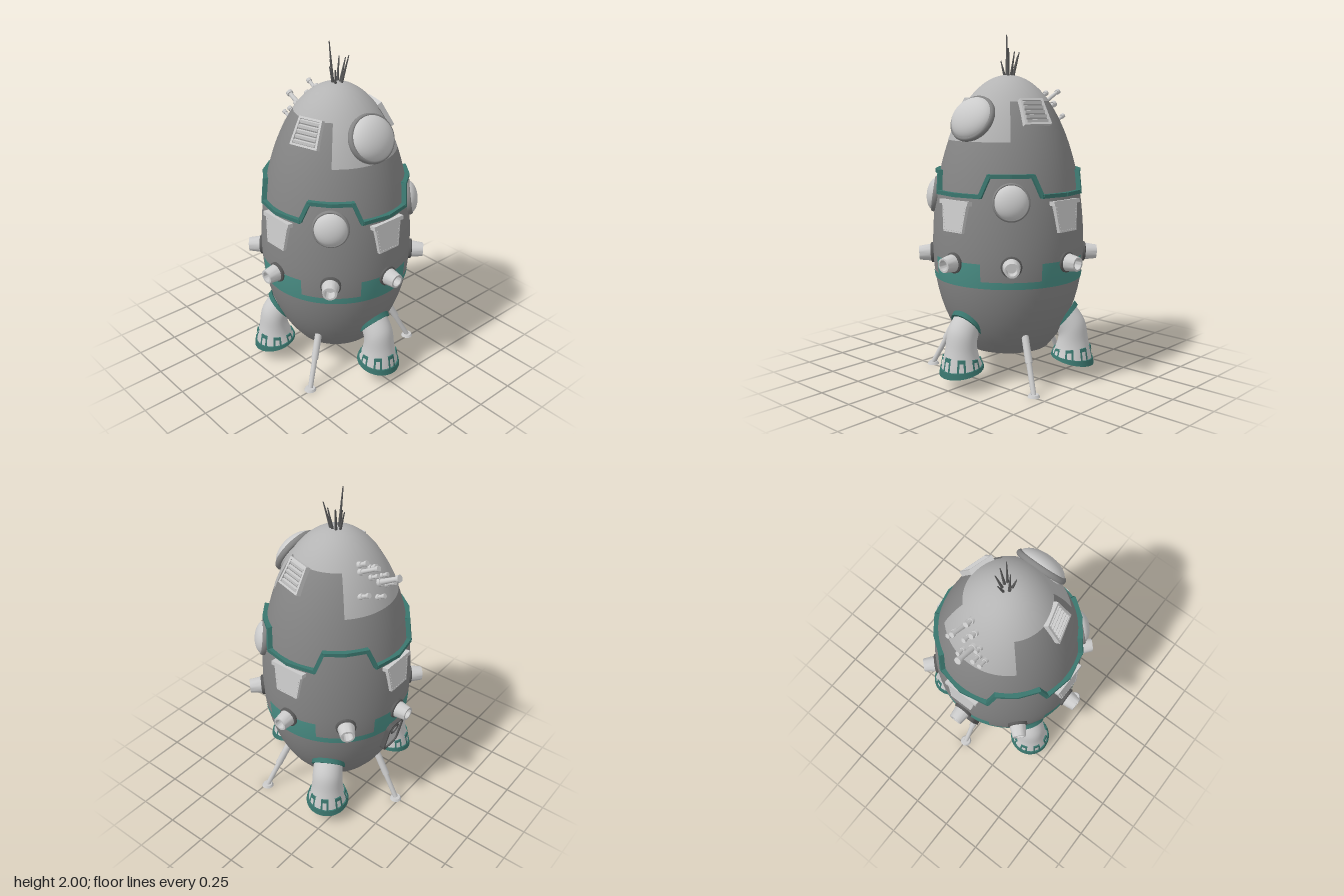
import * as THREE from 'three';
import { toCreasedNormals } from 'three/addons/utils/BufferGeometryUtils.js';
import { ParametricGeometry } from 'three/addons/geometries/ParametricGeometry.js';

const mat = (color, side = THREE.FrontSide) => new THREE.MeshStandardMaterial({ color, side });
const light = mat(0xcccccc), hullGrey = mat(0x858585), capGrey = mat(0xb4b4b4), dark = mat(0x5a5a5a);
const lightOpen = mat(0xcccccc, THREE.DoubleSide);
const teal = mat(0x4a8f86), trimTeal = mat(0x3a766e, THREE.DoubleSide);
const PI = Math.PI, TOP = 1.77;
const V = (x, y, z) => new THREE.Vector3(x, y, z);

// Egg-shaped hull radius at a height
const rad = y => 0.445 * Math.sqrt(Math.max(0, 1 - ((y - 0.78) / (y < 0.78 ? 0.72 : 0.99)) ** 2));
const onHull = (phi, y, off = 0) => V(Math.sin(phi) * (rad(y) + off), y, Math.cos(phi) * (rad(y) + off));

function add(parent, name, geo, material, x = 0, y = 0, z = 0) {
  const m = new THREE.Mesh(geo, material);
  m.name = name;
  m.position.set(x, y, z);
  parent.add(m);
  return m;
}

// Group on the hull surface whose +z points straight out
function mount(parent, name, phi, y, off = 0) {
  const g = new THREE.Group();
  g.name = name;
  g.rotation.order = 'YXZ';
  g.rotation.set(-Math.atan((rad(y - 0.01) - rad(y + 0.01)) / 0.02), phi, 0);
  g.position.copy(onHull(phi, y, off));
  parent.add(g);
  return g;
}

// Piece of hull skin between two heights and two angles
function shell(parent, name, material, y0, y1, off = 0, phi = 0, len = 2 * PI, floor = false) {
  const pts = floor ? [new THREE.Vector2(0, y0)] : [];
  for (let i = 0; i <= 40; i++) {
    const y = y0 + (y1 - y0) * (1 - (1 - i / 40) ** 2);
    pts.push(new THREE.Vector2(y > TOP - 1e-6 ? 0 : rad(y) + off, y));
  }
  const geo = new THREE.LatheGeometry(pts, Math.max(12, Math.round(96 * len / (2 * PI))), phi - (len < 6 ? len / 2 : 0), len);
  return add(parent, name, floor ? toCreasedNormals(geo, 0.6) : geo, material);
}

// Turned part pointing along +z
function turned(profile, seg = 28) {
  const geo = new THREE.LatheGeometry(profile.map(p => new THREE.Vector2(...p)), seg);
  return toCreasedNormals(geo.rotateX(PI / 2), 0.5);
}

function rod(parent, name, a, b, ra, rb, material, seg = 14) {
  const m = add(parent, name, new THREE.CylinderGeometry(rb, ra, a.distanceTo(b), seg), material);
  m.position.copy(a).lerp(b, 0.5);
  m.quaternion.setFromUnitVectors(V(0, 1, 0), b.clone().sub(a).normalize());
}

const polygon = pts => new THREE.Shape(pts.map(p => new THREE.Vector2(...p)));
const slab = (shape, depth) => new THREE.ExtrudeGeometry(shape, { depth, bevelEnabled: false, curveSegments: 10 });

function roundedRect(w, h, r) {
  const s = new THREE.Shape();
  s.absarc(w / 2 - r, h / 2 - r, r, 0, PI / 2);
  s.absarc(-w / 2 + r, h / 2 - r, r, PI / 2, PI);
  s.absarc(-w / 2 + r, -h / 2 + r, r, PI, 1.5 * PI);
  s.absarc(w / 2 - r, -h / 2 + r, r, 1.5 * PI, 2 * PI);
  return s;
}

// Curved engine: stations hold x, y and radius, with the ring tilting along the way
const engineCurve = new THREE.CatmullRomCurve3([
  V(0.345, 0.365, 0.086), V(0.385, 0.29, 0.09), V(0.39, 0.2, 0.097), V(0.392, 0.1, 0.122)]);
function enginePoint(u, v, off, target) {
  const c = engineCurve.getPoint(v), t = 0.96 - 1.16 * v, r = c.z + off, a = u * 2 * PI;
  target.set(c.x + r * Math.cos(a) * Math.cos(t), c.y + r * Math.cos(a) * Math.sin(t), r * Math.sin(a));
}
// Raised strip on the engine, closed at its upper and lower edge
function engineStrip(u0, u1, v0, v1, off, inner = 0) {
  const prof = [[v0, inner], [v0, off], [v1, off], [v1, inner]];
  const geo = new ParametricGeometry((u, s, target) => {
    const [v, o] = prof[Math.min(3, Math.round(s * 3))];
    enginePoint(u0 + (u1 - u0) * u, v, o, target);
  }, u1 - u0 > 0.5 ? 40 : 4, 3);
  return toCreasedNormals(geo, 0.6);
}

export function createModel() {
  const model = new THREE.Group();
  model.name = 'rocket';

  // Hull skin and coloured panels
  shell(model, 'hull', hullGrey, 0.18, 1.64, 0, 0, 2 * PI, true);
  shell(model, 'noseCap', capGrey, 1.62, TOP, 0.003);
  for (const s of [1, -1]) shell(model, 'capSidePanel', capGrey, 1.4, 1.62, 0.003, s * PI / 2, PI / 2);
  shell(model, 'band', teal, 0.6, 0.64, 0.003);
  for (let i = 0; i < 4; i++) shell(model, 'bandPanel', teal, 0.64, 0.74, 0.003, i * PI / 2, PI / 4);

  // Stepped trim: low in front of each hatch, high on the diagonals
  const steps = [[-22, 1.11], [0, 1.11], [22, 1.11], [28, 1.22], [45, 1.22], [62, 1.22], [68, 1.11]];
  for (let q = 0; q < 4; q++) for (let i = 0; i < 6; i++) {
    const [p, n] = [steps[i], steps[i + 1]].map(([d, y]) => onHull((d + q * 90) * PI / 180, y, 0.01));
    const b = add(model, 'trim', new THREE.BoxGeometry(0.022, 0.034, p.distanceTo(n) + 0.012), trimTeal);
    b.position.copy(p).lerp(n, 0.5);
    b.up.set(b.position.x, 0, b.position.z).normalize();
    b.lookAt(n);
  }

  // Ports around the band
  const cone = turned([[0.05, 0], [0.05, 0.015], [0.041, 0.082], [0.03, 0.082], [0.027, 0.03], [0, 0.03]]);
  const flange = turned([[0.059, -0.02], [0.059, 0.01], [0.048, 0.016]]);
  for (let i = 0; i < 8; i++) {
    const g = mount(model, 'port', i * PI / 4, 0.73);
    add(g, 'portCone', cone, light);
    add(g, 'portFlange', flange, dark);
  }

  // Four trapezoid hatches with rivets
  const hatch = slab(polygon([[-0.073, -0.09], [0.073, -0.09], [0.097, 0.07], [-0.097, 0.07]]), 0.032);
  const rivet = new THREE.SphereGeometry(0.003, 6, 4);
  for (let i = 0; i < 4; i++) {
    const g = mount(model, 'hatch', i * PI / 2, 0.99, -0.02);
    add(g, 'hatchPlate', hatch, light);
    add(g, 'hatchLintel', new THREE.BoxGeometry(0.222, 0.024, 0.05), light, 0, 0.076, 0.015);
    for (let k = 0; k < 8; k++) {
      const t = k / 7;
      for (const s of [1, -1]) add(g, 'rivet', rivet, light, s * (0.065 + 0.02 * t), -0.08 + 0.13 * t, 0.032);
      add(g, 'rivet', rivet, light, -0.065 + 0.13 * t, -0.08, 0.032);
    }
  }

  // Domed windows: two small ones and a large one
  function dome(phi, y, w, h, depth) {
    const g = mount(model, 'window', phi, y);
    add(g, 'windowDome', new THREE.SphereGeometry(1, 36, 24), light).scale.set(w, h, depth);
    add(g, 'windowRim', new THREE.TorusGeometry(1, 0.09, 10, 44), hullGrey).scale.set(w, h, 0.2);
  }
  dome(PI / 4, 1.08, 0.096, 0.098, 0.055);
  dome(3 * PI / 4, 1.08, 0.096, 0.098, 0.055);
  dome(PI / 2, 1.525, 0.145, 0.128, 0.075);

  // Louvred vents, front and back
  for (const s of [1, -1]) {
    const g = mount(model, 'vent', s > 0 ? 0.28 : PI - 0.28, 1.55, -0.022);
    const frame = polygon([[-0.088, -0.08], [0.088, -0.08], [0.074, 0.082], [-0.074, 0.082]]);
    frame.holes.push(polygon([[-0.074, -0.068], [0.074, -0.068], [0.062, 0.07], [-0.062, 0.07]]));
    add(g, 'ventFrame', slab(frame, 0.036), light);
    add(g, 'ventBack', new THREE.BoxGeometry(0.145, 0.145, 0.024), hullGrey, 0, 0, 0.012);
    for (let k = 0; k < 5; k++)
      add(g, 'louvre', new THREE.BoxGeometry(0.138 - k * 0.004, 0.016, 0.02), light, 0, -0.054 + k * 0.028, 0.026).rotation.x = 0.5;
  }

  // Cluster of pipes: height, z, length, radius
  const pipes = [[1.53, 0, 0.15, 0.017], [1.61, -0.085, 0.14, 0.013], [1.5, -0.14, 0.07, 0.012], [1.64, -0.07, 0.06, 0.013],
    [1.57, -0.045, 0.06, 0.011], [1.61, -0.02, 0.05, 0.013], [1.5, 0.045, 0.07, 0.012], [1.49, 0.085, 0.07, 0.011],
    [1.55, 0.035, 0.05, 0.01], [1.47, -0.05, 0.06, 0.011]];
  for (const [y, z, len, r] of pipes) {
    const base = V(-Math.sqrt(rad(y) ** 2 - z * z), y, z), dir = V(-0.87, 0.48, z * 0.5).normalize();
    const at = d => base.clone().addScaledVector(dir, d);
    rod(model, 'pipeBase', at(-0.02), at(0.018), r * 1.7, r * 1.3, light);
    rod(model, 'pipe', at(0), at(len), r, r * 0.75, light);
    rod(model, 'pipeCollar', at(len - 0.018), at(len), r * 1.2, r * 1.2, light);
  }

  // Antenna spikes on the nose: tip positions
  const tips = [[-0.02, 2, 0.03], [0.05, 1.92, -0.05], [-0.065, 1.88, -0.015], [-0.035, 1.9, -0.055],
    [0.012, 1.9, -0.06], [0.03, 1.85, 0.03], [-0.015, 1.86, 0.032]];
  for (const [x, y, z] of tips) rod(model, 'spike', V(x * 0.4, 1.75, z * 0.4), V(x, y, z), 0.009, 0.003, dark, 6);

  // Round-cornered door low on the right side
  const door = mount(model, 'door', -PI / 2, 0.53, -0.015);
  const doorFrame = roundedRect(0.15, 0.22, 0.04);
  doorFrame.holes.push(roundedRect(0.122, 0.192, 0.03));
  add(door, 'doorFrame', slab(doorFrame, 0.035), dark);
  add(door, 'doorPanel', slab(roundedRect(0.13, 0.2, 0.03), 0.026), light);
  add(door, 'doorPorthole', new THREE.TorusGeometry(0.032, 0.007, 8, 24), dark, 0, 0.045, 0.027);

  // Three engines with teal collars, mouths and brackets
  for (let i = 0; i < 3; i++) {
    const g = new THREE.Group();
    g.name = 'engine';
    g.rotation.y = i * 2 * PI / 3;
    model.add(g);
    add(g, 'engineBody', new ParametricGeometry((u, v, t) => enginePoint(u, v, 0, t), 40, 20), lightOpen);
    add(g, 'engineCollar', engineStrip(0, 1, 0, 0.08, 0.014), trimTeal);
    add(g, 'engineMouth', engineStrip(0, 1, 0.92, 1, 0.008, -0.012), trimTeal);
    for (let k = 0; k < 8; k++) {
      const c = k / 8;
      add(g, 'bracketTop', engineStrip(c - 0.032, c + 0.032, 0.74, 0.79, 0.008), trimTeal);
      for (const s of [-1, 1]) add(g, 'bracketSide', engineStrip(c + s * 0.025 - 0.008, c + s * 0.025 + 0.008, 0.74, 0.94, 0.008), trimTeal);
    }
  }

  // Three landing legs between the engines
  for (let i = 0; i < 3; i++) {
    const g = new THREE.Group();
    g.name = 'leg';
    g.rotation.y = PI / 3 + i * 2 * PI / 3;
    model.add(g);
    rod(g, 'legSleeve', V(0.3, 0.34, 0), V(0.395, 0.165, 0), 0.021, 0.021, light);
    rod(g, 'legStrut', V(0.39, 0.17, 0), V(0.475, 0.012, 0), 0.016, 0.015, light);
    rod(g, 'foot', V(0.477, 0, 0), V(0.477, 0.014, 0), 0.036, 0.028, light, 20);
  }
  return model;
}
